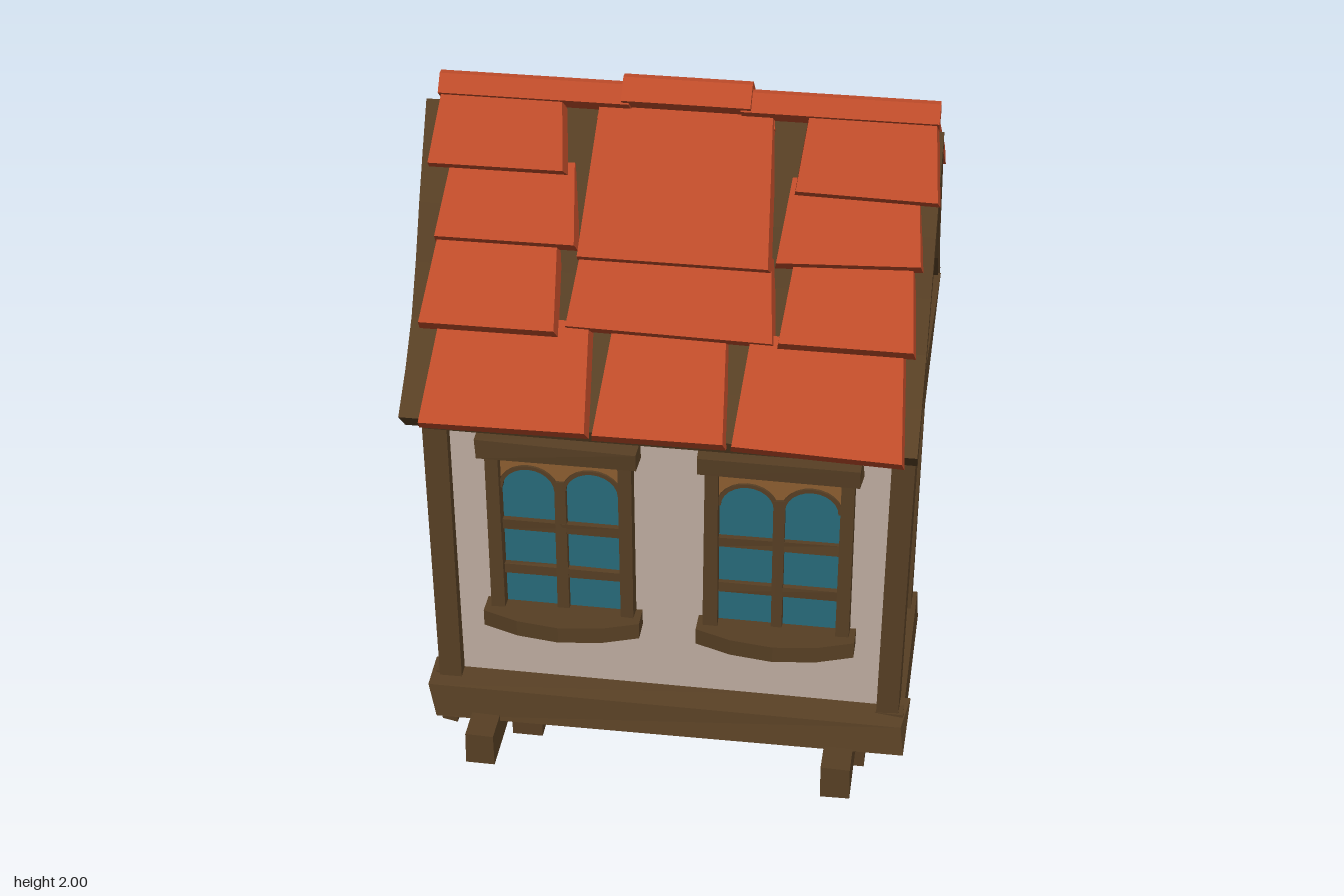
import * as THREE from 'three';

const mat = (color) => new THREE.MeshStandardMaterial({ color, flatShading: true, roughness: 0.9 });

export function createModel() {
  const root = new THREE.Group();
  const wood = mat(0x573f24), lightWood = mat(0x8c5d30), plaster = mat(0xbeada0);
  const tileRed = mat(0xbd4b29), glass = mat(0x286b7a);

  let seed = 7;
  const rnd = () => ((seed = (seed * 16807) % 2147483647) / 2147483647) - 0.5;

  const add = (name, geo, material, parent = root) => {
    const mesh = new THREE.Mesh(geo, material);
    mesh.name = name;
    parent.add(mesh);
    return mesh;
  };

  // Six-sided block whose corners come from a rule; signs are -1 or 1
  const hexa = (rule) => {
    const geo = new THREE.BoxGeometry(2, 2, 2);
    const p = geo.attributes.position;
    for (let i = 0; i < p.count; i++) {
      p.setXYZ(i, ...rule(p.getX(i), p.getY(i), p.getZ(i)));
    }
    geo.computeVertexNormals();
    return geo;
  };

  // Hewn timber from min to max with slightly uneven corners
  const timber = (name, x, y, z, rough = 0.01, parent = root) => {
    const jit = Array.from({ length: 8 }, () => [rnd() * rough, rnd() * rough, rnd() * rough]);
    return add(name, hexa((sx, sy, sz) => {
      const j = jit[(sx > 0 ? 1 : 0) + (sy > 0 ? 2 : 0) + (sz > 0 ? 4 : 0)];
      return [x[sx > 0 ? 1 : 0] + j[0], y[sy > 0 ? 1 : 0] + j[1], z[sz > 0 ? 1 : 0] + j[2]];
    }), wood, parent);
  };

  // Outline in (z, y) extruded along x between x0 and x1
  const slabX = (pts, x0, x1) => {
    const shape = new THREE.Shape(pts.map(([z, y]) => new THREE.Vector2(-z, y)));
    const geo = new THREE.ExtrudeGeometry(shape, { depth: x1 - x0, bevelEnabled: false });
    return geo.rotateY(Math.PI / 2).translate(x0, 0, 0);
  };

  // Plaster body with gable ends
  const half = [[0.21, 0.45], [0.21, 1.5], [0.11, 1.68]];
  const mirror = (pts) => pts.map(([z, y]) => [-z, y]).reverse();
  add('walls', slabX([...half, [0, 1.85], ...mirror(half)], -0.515, 0.515), plaster);

  // Corner posts
  for (const s of [-1, 1]) for (const t of [-1, 1]) {
    const x = [0.5, 0.552].map((v) => v * s).sort((a, b) => a - b);
    const z = [0.178, 0.24].map((v) => v * t).sort((a, b) => a - b);
    timber('cornerPost', x, [0.43, 1.46], z);
  }

  // Side and front beams
  for (const s of [-1, 1]) {
    const x = [0.49, 0.562].map((v) => v * s).sort((a, b) => a - b);
    timber('sideBottomBeam', x, [0.43, 0.512], [-0.25, 0.24]);
    timber('sideTopBeam', x, [1.35, 1.435], [-0.24, 0.24]);
  }
  timber('frontBottomBeam', [-0.565, 0.565], [0.43, 0.512], [0.18, 0.285], 0.02);
  timber('beamStub', [-0.555, -0.51], [0.365, 0.45], [0.19, 0.24], 0.02);

  // Curved roof: boards under the tiles and barge boards at the gables
  const outer = [[0, 1.915], [0.06, 1.82], [0.117, 1.725], [0.18, 1.61], [0.245, 1.51], [0.325, 1.425], [0.41, 1.355]];
  const innerBarge = [[0.36, 1.303], [0.285, 1.37], [0.225, 1.445], [0.17, 1.515], [0.115, 1.61], [0.05, 1.715], [0, 1.78]];
  const innerDeck = outer.map(([z, y]) => [z * 0.96, y - 0.035]).reverse();
  const roofBand = (inner) => [
    ...outer, ...inner, ...mirror(inner).slice(1), ...mirror(outer).slice(0, -1),
  ];
  add('roofBoards', slabX(roofBand(innerDeck), -0.51, 0.51), wood);
  add('rightBargeBoard', slabX(roofBand(innerBarge), -0.56, -0.5), wood);
  add('leftBargeBoard', slabX(roofBand(innerBarge), 0.5, 0.56), wood);

  // Roof tiles: x range, upper edge (z, y) and lower edge (z, y)
  const rows = [
    [[-0.54, -0.235], [0.01, 1.965], [0.125, 1.82]],
    [[0.255, 0.565], [0.01, 1.965], [0.13, 1.815]],
    [[-0.515, -0.2], [0.07, 1.82], [0.2, 1.69]],
    [[0.225, 0.54], [0.07, 1.82], [0.2, 1.69]],
    [[-0.53, -0.225], [0.16, 1.69], [0.325, 1.545]],
    [[0.245, 0.54], [0.16, 1.69], [0.32, 1.55]],
    [[-0.51, -0.14], [0.27, 1.545], [0.457, 1.375]],
    [[0.165, 0.535], [0.27, 1.545], [0.457, 1.375]],
    [[-0.2, 0.22], [0.015, 1.93], [0.22, 1.68]],
    [[-0.215, 0.24], [0.17, 1.68], [0.295, 1.545]],
    [[-0.135, 0.155], [0.25, 1.54], [0.44, 1.375]],
  ];
  const roof = new THREE.Group();
  roof.name = 'roofTiles';
  root.add(roof);
  const thick = 0.042;
  for (const s of [1, -1]) for (const [xr, top, low] of rows) {
    const x = s > 0 ? xr : [-xr[1], -xr[0]];
    const dz = low[0] - top[0], dy = low[1] - top[1], len = Math.hypot(dz, dy);
    const n = [-dy / len, dz / len]; // outward in (z, y)
    const skew = [rnd() * 0.014, rnd() * 0.014];
    add('roofTile', hexa((sx, sy, sz) => {
      const e = sy > 0 ? top : low;
      const k = sz > 0 ? 0 : -thick;
      const inset = (sy > 0 ? 0.018 : 0) + (sz > 0 ? 0.005 : 0);
      const px = x[sx > 0 ? 1 : 0] - sx * inset;
      const drop = sy > 0 ? 0 : skew[sx > 0 ? 1 : 0];
      return [s * px, e[1] + n[1] * k + drop * dy / len, s * (e[0] + n[0] * k + drop * dz / len)];
    }), tileRed, roof);
  }

  // Ridge caps with a diamond section
  for (const [x0, x1, w, y0, y1] of [
    [-0.525, -0.11, 0.036, 1.915, 1.982], [0.13, 0.55, 0.036, 1.915, 1.982], [-0.125, 0.152, 0.048, 1.925, 2],
  ]) {
    const mid = y0 + (y1 - y0) * 0.5;
    add('ridgeCap', slabX([[0, y0], [w, mid], [0.008, y1], [-0.008, y1], [-w, mid]], x0, x1), tileRed, roof);
  }

  // Twin-arched windows
  const windowAt = (cx) => {
    const win = new THREE.Group();
    win.name = 'window';
    win.position.x = cx;
    root.add(win);
    const bar = (name, x, y, z, r = 0.004) => timber(name, x, y, z, r, win);
    add('glass', new THREE.BoxGeometry(0.29, 0.45, 0.01).translate(0, 0.94, 0.21), glass, win);

    // Head panel with two arched cut-outs
    const head = new THREE.Shape();
    head.moveTo(-0.145, 1.17);
    head.lineTo(-0.145, 1.06);
    for (const c of [-0.073, 0.073]) {
      for (let i = 0; i <= 6; i++) {
        const a = Math.PI * (1 - i / 6);
        head.lineTo(c + 0.063 * Math.cos(a), 1.065 + 0.055 * Math.sin(a));
      }
    }
    head.lineTo(0.145, 1.06);
    head.lineTo(0.145, 1.17);
    add('archPanel', new THREE.ExtrudeGeometry(head, { depth: 0.012, bevelEnabled: false }).translate(0, 0, 0.212), lightWood, win);

    // Dark trim following the arches
    for (const c of [-0.073, 0.073]) {
      const arch = new THREE.Shape();
      arch.absarc(c, 0, 0.07, 0, Math.PI, false);
      arch.absarc(c, 0, 0.06, Math.PI, 0, true);
      const geo = new THREE.ExtrudeGeometry(arch, { depth: 0.018, bevelEnabled: false, curveSegments: 6 });
      add('archTrim', geo.scale(1, 0.9, 1).translate(0, 1.065, 0.212), wood, win);
    }

    for (const s of [-1, 1]) bar('jamb', [s * 0.153 - 0.016, s * 0.153 + 0.016], [0.72, 1.17], [0.2, 0.245]);
    bar('mullion', [-0.013, 0.013], [0.72, 1.09], [0.2, 0.23]);
    for (const y of [0.835, 0.962]) bar('glazingBar', [-0.145, 0.145], [y - 0.013, y + 0.013], [0.2, 0.228]);
    bar('lintel', [-0.184, 0.184], [1.162, 1.208], [0.2, 0.262], 0.008);

    // Bowed sill
    const sill = new THREE.Shape();
    sill.moveTo(-0.184, -0.2);
    sill.lineTo(0.184, -0.2);
    for (const [x, z] of [[0.184, 0.265], [0.1, 0.295], [0, 0.308], [-0.1, 0.295], [-0.184, 0.265]]) sill.lineTo(x, -z);
    const geo = new THREE.ExtrudeGeometry(sill, { depth: 0.042, bevelEnabled: false });
    add('sill', geo.rotateX(-Math.PI / 2).translate(0, 0.692, 0), wood, win);
  };
  windowAt(-0.247);
  windowAt(0.254);

  // Support brackets: leg, arm and diagonal brace
  for (const x of [-0.435, 0.415]) {
    const bracket = new THREE.Group();
    bracket.name = 'bracket';
    root.add(bracket);
    timber('leg', [x - 0.04, x + 0.04], [0, 0.36], [-0.24, -0.155], 0, bracket);
    timber('arm', [x - 0.034, x + 0.034], [0.352, 0.437], [-0.25, 0.368], 0.003, bracket);
    add('brace', slabX([[0.215, 0.36], [0.12, 0.36], [-0.165, 0.115], [-0.165, 0.045]], x - 0.028, x + 0.028), wood, bracket);
  }

  // Turn any inward-wound outlines so every face looks outward
  root.traverse((o) => {
    if (!o.isMesh || o.geometry.type !== 'ExtrudeGeometry') return;
    o.geometry.computeVertexNormals();
  });
  return root;
}
